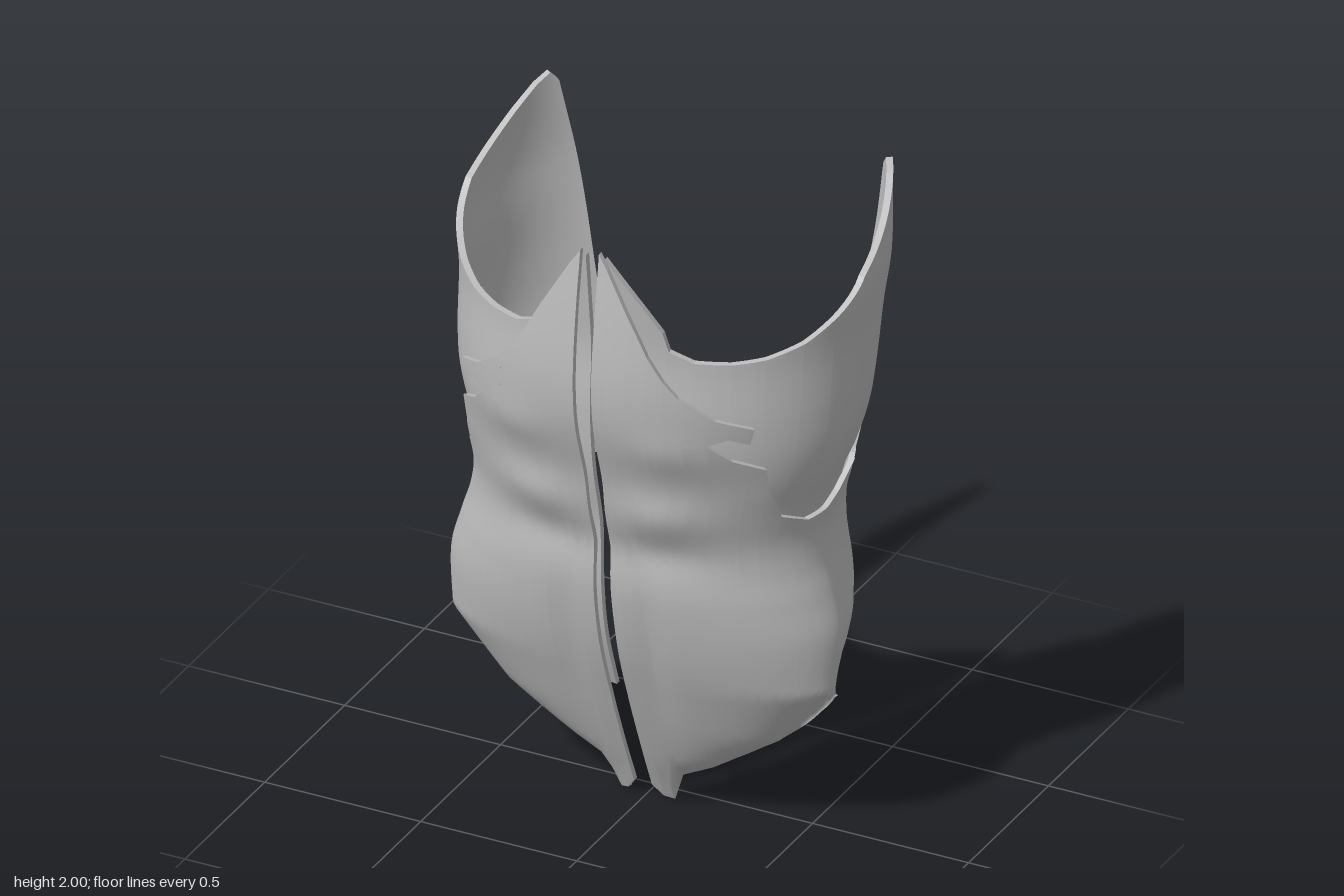
import * as THREE from 'three';

// Piecewise-linear lookup, used for torn edges
function linear(table, t) {
  const n = table.length;
  if (t <= table[0][0]) return table[0][1];
  for (let i = 1; i < n; i++) {
    const [a, p] = table[i - 1], [b, q] = table[i];
    if (t <= b) return p + (q - p) * (t - a) / (b - a);
  }
  return table[n - 1][1];
}

// Smooth (cubic) lookup, used for body profiles
function smooth(table, t) {
  const n = table.length;
  if (t <= table[0][0]) return table[0][1];
  if (t >= table[n - 1][0]) return table[n - 1][1];
  const slope = (i) => {
    const a = table[Math.max(i - 1, 0)], b = table[Math.min(i + 1, n - 1)];
    return (b[1] - a[1]) / (b[0] - a[0]);
  };
  let i = 0;
  while (t > table[i + 1][0]) i++;
  const h = table[i + 1][0] - table[i][0], k = (t - table[i][0]) / h;
  const k2 = k * k, k3 = k2 * k;
  return (2 * k3 - 3 * k2 + 1) * table[i][1] + (k3 - 2 * k2 + k) * h * slope(i)
    + (3 * k2 - 2 * k3) * table[i + 1][1] + (k3 - k2) * h * slope(i + 1);
}

// Body profiles by height: half width, hem width, depth of the sides, fronts, back edge
const WIDTH = [[0, 0.61], [0.5, 0.612], [0.68, 0.62], [0.8, 0.59], [0.9, 0.56], [1, 0.55], [1.1, 0.57],
  [1.2, 0.6], [1.4, 0.62], [1.6, 0.625], [1.75, 0.64], [2, 0.63]];
const HEM = [[0, 0.09], [0.1, 0.13], [0.15, 0.225], [0.3, 0.445], [0.5, 0.612], [0.55, 0.64], [2, 0.7]];
const SIDE_Z = [[0, 0.045], [0.15, 0.065], [0.5, 0.07], [0.7, 0.05], [1, 0.03], [1.75, -0.05], [2, -0.05]];
const OUTER_Z = [[0, 0.065], [0.2, 0.15], [0.4, 0.23], [0.6, 0.3], [0.8, 0.34], [0.95, 0.345], [1.1, 0.375],
  [1.2, 0.395], [1.4, 0.455], [1.55, 0.468], [1.75, 0.45], [1.95, 0.42]];
const INNER_Z = [[0.3, 0.15], [0.6, 0.26], [0.8, 0.295], [1, 0.305], [1.2, 0.345], [1.4, 0.36], [1.6, 0.352],
  [1.75, 0.365], [1.92, 0.385]];
const BACK_X = [[0.74, 0.28], [0.85, 0.31], [1.1, 0.37], [1.62, 0.47], [2, 0.54]];
const BACK_Z = [[0.73, -0.465], [0.82, -0.435], [1.2, -0.43], [1.7, -0.45], [2, -0.415]];

// Edge heights by position round the body: 0 front centre, 1 side, 2 back edge
const OUTER_TOP = [[0.03, 1.955], [0.06, 1.91], [0.135, 1.78], [0.2, 1.67], [0.253, 1.6], [0.32, 1.53],
  [0.39, 1.39], [0.47, 1.33], [0.585, 1.285], [0.6, 1.2], [0.68, 1.1], [0.83, 1.06], [1, 1.065], [1.12, 1.09],
  [1.29, 1.15], [1.36, 1.06], [1.5, 1.11], [1.56, 1.11], [1.63, 1.18], [1.75, 1.14], [1.85, 1.15], [2, 1.13]];
const OUTER_BOTTOM = [[0.03, 0.05], [0.06, 0.01], [0.09, 0], [0.13, 0.1], [0.235, 0.15], [0.51, 0.3],
  [0.75, 0.42], [0.97, 0.5], [1.02, 0.62], [1.1, 0.68], [1.25, 0.75], [1.45, 0.8], [1.65, 0.83],
  [1.9, 0.81], [2, 0.735]];
const INNER_TOP = [[0.03, 1.92], [0.1, 1.83], [0.2, 1.7], [0.22, 1.64], [0.3, 1.612], [0.42, 1.612],
  [0.54, 1.625], [0.68, 1.66], [0.82, 1.72], [1, 1.8], [1.25, 1.86], [1.5, 1.92], [1.75, 1.975],
  [1.92, 2], [2, 1.97]];
const INNER_BOTTOM = [[0.03, 0.42], [0.5, 0.5], [0.97, 0.63], [1.25, 0.79], [1.38, 0.82], [1.4, 0.77],
  [1.6, 0.79], [1.65, 0.85], [2, 0.85]];

const bump = (v, centre, size) => Math.exp(-(((v - centre) / size) ** 2));

// Point on the body; the lining sits just inside the front plate
function bodyPoint(s, y, lining) {
  const inset = lining ? 0.028 * (1 - THREE.MathUtils.smoothstep(y, 1.1, 1.35)) : 0;
  const w = smooth(WIDTH, y) - inset, zs = smooth(SIDE_Z, y);
  if (s <= 1) {
    const x = w * Math.sin(s * Math.PI / 2);
    const r = Math.min(x / Math.min(w, linear(HEM, y) - inset), 1);
    let z = zs + (smooth(lining ? INNER_Z : OUTER_Z, y) - zs) * (1 - r ** 2.5) ** 0.58;
    if (!lining) {
      // Muscle relief: rib pads, hollow below them and a groove down the belly
      z += 0.02 * bump(y, 1.1, 0.07) * bump(x, 0.2, 0.13);
      z += 0.012 * bump(y, 1.34, 0.07) * bump(x, 0.25, 0.12);
      z -= 0.012 * bump(y, 0.96, 0.05) * bump(x, 0.15, 0.16);
      z -= 0.01 * bump(y, 0.6, 0.25) * bump(x, 0.13, 0.05);
    }
    return [x, y, z];
  }
  const t = s - 1, k = 1 - t;
  const bx = smooth(BACK_X, y) + inset * 0.5, bz = smooth(BACK_Z, y) + inset;
  return [k * k * w + 2 * k * t * w + t * t * bx, y, k * k * zs + 2 * k * t * (zs + bz * 0.62) + t * t * bz];
}

// Closed shell between two edges, with rims and a thickness
function shell(top, bottom, lining, side, rows, thickness) {
  const from = top[0][0], to = top[top.length - 1][0];
  const steps = Math.ceil((to - from) * 34) + 3;
  const cols = [...top, ...bottom].map((p) => p[0]).filter((s) => s >= from && s <= to);
  for (let i = 0; i <= steps; i++) cols.push(from + (to - from) * i / steps);
  cols.sort((a, b) => a - b);
  const S = cols.filter((s, i) => i === 0 || s - cols[i - 1] > 1e-4);
  const nc = S.length, nr = rows + 1, points = [], faces = [];
  const quad = (a, b, c, d) => faces.push(...(side > 0 ? [a, b, c, a, c, d] : [a, c, b, a, d, c]));
  for (const s of S) {
    const y0 = linear(bottom, s), y1 = linear(top, s);
    for (let j = 0; j < nr; j++) {
      const [x, y, z] = bodyPoint(s, y0 + (y1 - y0) * j / rows, lining);
      points.push(x * side, y, z);
    }
  }
  const at = (i, j) => i * nr + j, total = nc * nr;
  for (let i = 0; i < nc - 1; i++) for (let j = 0; j < rows; j++) {
    quad(at(i, j), at(i + 1, j), at(i + 1, j + 1), at(i, j + 1));
  }
  // Outer face normals give the direction of the inner face
  const face = new THREE.BufferGeometry();
  face.setAttribute('position', new THREE.Float32BufferAttribute(points, 3));
  face.setIndex([...faces]);
  face.computeVertexNormals();
  const normal = face.attributes.normal.array;
  for (let i = 0; i < total * 3; i++) {
    points.push(points[i] - (i % 3 === 1 ? 0 : normal[i] * thickness));
  }
  for (let i = 0; i < nc - 1; i++) for (let j = 0; j < rows; j++) {
    quad(total + at(i, j), total + at(i, j + 1), total + at(i + 1, j + 1), total + at(i + 1, j));
  }
  // Rims use their own vertices so the edges stay sharp
  const rim = (a, b) => {
    const n = points.length / 3;
    for (const v of [a, total + a, total + b, b]) points.push(...points.slice(v * 3, v * 3 + 3));
    quad(n, n + 1, n + 2, n + 3);
  };
  for (let i = 0; i < nc - 1; i++) {
    rim(at(i, 0), at(i + 1, 0));
    rim(at(i + 1, rows), at(i, rows));
  }
  for (let j = 0; j < rows; j++) {
    rim(at(0, j + 1), at(0, j));
    rim(at(nc - 1, j), at(nc - 1, j + 1));
  }
  const geometry = new THREE.BufferGeometry();
  geometry.setAttribute('position', new THREE.Float32BufferAttribute(points, 3));
  geometry.setIndex(faces);
  geometry.computeVertexNormals();
  return geometry;
}

export function createModel() {
  const model = new THREE.Group();
  model.name = 'tornBodyArmour';
  const grey = new THREE.MeshStandardMaterial({ color: 0xbcbcbc });
  grey.name = 'plainGrey';
  // Torn strip at the chest
  const stripTop = [[0.3, 1.55], [0.42, 1.475], [0.545, 1.435]];
  const stripBottom = [[0.3, 1.38], [0.39, 1.39], [0.46, 1.41], [0.53, 1.385], [0.545, 1.43]];
  for (const [label, side] of [['left', 1], ['right', -1]]) {
    const half = new THREE.Group();
    half.name = label + 'Half';
    const add = (name, ...args) => {
      const mesh = new THREE.Mesh(shell(...args), grey);
      mesh.name = name;
      half.add(mesh);
    };
    add('frontPlate', OUTER_TOP, OUTER_BOTTOM, false, side, 44, 0.018);
    add('tornChestStrip', stripTop, stripBottom, false, side, 4, 0.016);
    add('sideLining', INNER_TOP, INNER_BOTTOM, true, side, 36, 0.02);
    model.add(half);
  }
  return model;
}
